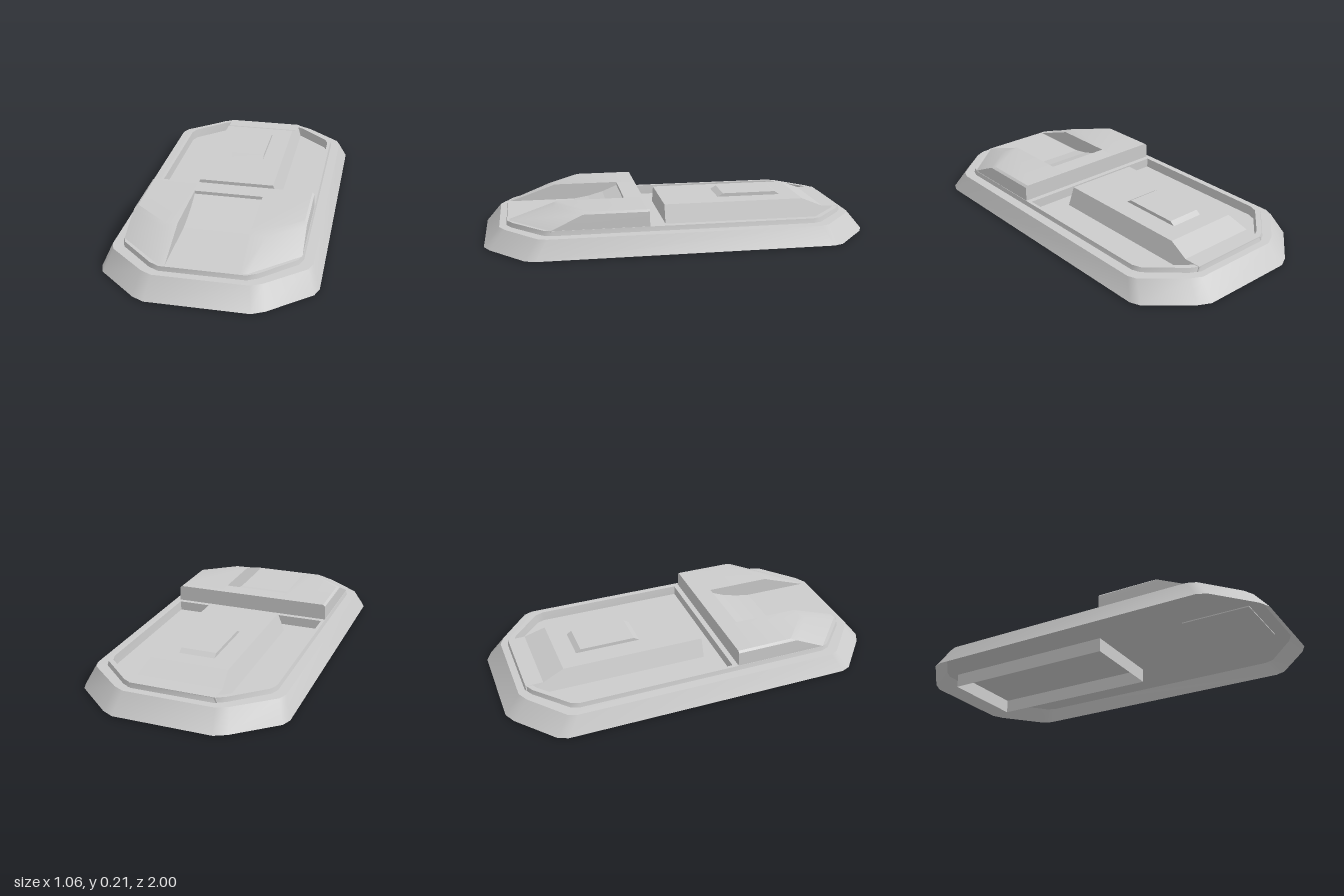
import * as THREE from 'three';
import { toCreasedNormals } from 'three/addons/utils/BufferGeometryUtils.js';

const grey = new THREE.MeshStandardMaterial({ color: 0xcccccc });
const greyShell = new THREE.MeshStandardMaterial({ color: 0xcccccc, side: THREE.DoubleSide });

// Skin a stack of rising rings of [x, y, z] points, optionally closing the top.
function loft(rings, capTop) {
  const n = rings[0].length;
  let area = 0;
  rings[0].forEach(([x, , z], i) => {
    const q = rings[0][(i + 1) % n];
    area += z * q[0] - x * q[2];
  });
  const ordered = rings.map(r => (area < 0 ? [...r].reverse() : r));
  const points = ordered.flat();
  const index = [];
  for (let r = 0; r < rings.length - 1; r++) {
    for (let j = 0; j < n; j++) {
      const k = (j + 1) % n, a = r * n + j, b = r * n + k;
      index.push(a, b, b + n, a, b + n, a + n);
    }
  }
  const last = (rings.length - 1) * n;
  for (let j = 1; capTop && j < n - 1; j++) index.push(last, last + j, last + j + 1);
  const g = new THREE.BufferGeometry();
  g.setAttribute('position', new THREE.Float32BufferAttribute(points.flat(), 3));
  g.setIndex(index);
  return toCreasedNormals(g, 0.6);
}

// Side profile of [z, y] points, extruded across x from -half to half.
function extrudeAcross(profile, half) {
  const shape = new THREE.Shape(profile.map(([z, y]) => new THREE.Vector2(-z, y)));
  const g = new THREE.ExtrudeGeometry(shape, { depth: half * 2, bevelEnabled: false });
  return g.translate(0, 0, -half).rotateY(Math.PI / 2);
}

const box = (x0, x1, y0, y1, z0, z1) =>
  new THREE.BoxGeometry(x1 - x0, y1 - y0, z1 - z0)
    .translate((x0 + x1) / 2, (y0 + y1) / 2, (z0 + z1) / 2);

const rect = (hx, y, z0, z1) => [[hx, y, z1], [hx, y, z0], [-hx, y, z0], [-hx, y, z1]];

// Octagonal plan with softened corners, for given half width and half length.
function octagon(hx, hz, y) {
  const quarter = [[0.53, 0.75], [0.51, 0.8], [0.31, 0.97], [0.25, 1]]
    .map(([x, z]) => [x * hx / 0.53, z * hz]);
  const back = [...quarter].reverse();
  return [
    ...quarter.map(([x, z]) => [x, y, z]),
    ...back.map(([x, z]) => [-x, y, z]),
    ...quarter.map(([x, z]) => [-x, y, -z]),
    ...back.map(([x, z]) => [x, y, -z]),
  ];
}

export function createModel() {
  const model = new THREE.Group();
  const add = (name, geometry, material = grey) => {
    const mesh = new THREE.Mesh(geometry, material);
    mesh.name = name;
    model.add(mesh);
  };
  const floorY = 0.075;

  // Open-bottomed base shell: sloped wall, ledge, and raised rim around a tray
  add('baseShell', loft([
    octagon(0.53, 1, 0.004),
    octagon(0.49, 0.92, 0.1),
    octagon(0.442, 0.885, 0.102),
    octagon(0.437, 0.88, 0.125),
    octagon(0.42, 0.855, 0.125),
    octagon(0.417, 0.85, floorY),
  ], false), greyShell);

  // Floor sheet, seen as the tray from above and as the hollow underside from below
  const floor = new THREE.Shape(octagon(0.5, 0.94, 0).map(([x, , z]) => new THREE.Vector2(x, z)));
  add('floor', new THREE.ShapeGeometry(floor).rotateX(Math.PI / 2).translate(0, floorY, 0), greyShell);

  // Open rectangular skirt below the floor, under the rear plate
  add('undersideSkirt', loft([rect(0.235, 0, -0.88, 0.07), rect(0.235, floorY, -0.88, 0.07)], false), greyShell);

  // Raised rear plate: flat, then sloping down to the rim, narrower at the top
  const plate = extrudeAcross([[0.07, floorY], [0.07, 0.17], [-0.68, 0.17], [-0.79, 0.127],
    [-0.88, 0.127], [-0.88, floorY]], 0.235);
  const p = plate.attributes.position;
  for (let i = 0; i < p.count; i++) {
    p.setX(i, p.getX(i) * (1 - 0.15 * (p.getY(i) - floorY) / (0.17 - floorY)));
  }
  plate.computeVertexNormals();
  add('rearPlate', plate);

  // Button with sloped ends
  add('button', extrudeAcross([[-0.24, 0.165], [-0.24, 0.17], [-0.27, 0.188], [-0.56, 0.188],
    [-0.585, 0.17], [-0.585, 0.165]], 0.092));

  // Strip between the rear tray and the front blocks
  add('crossbar', box(-0.432, 0.432, floorY, 0.125, 0.152, 0.19));

  // Pair of front blocks, falling away towards the front corner
  for (const s of [1, -1]) {
    const ring = (y, pts) => pts.map(([x, z]) => [s * x, y, z]);
    add(s > 0 ? 'leftBlock' : 'rightBlock', loft([
      ring(floorY, [[0.178, 0.18], [0.435, 0.18], [0.435, 0.67], [0.21, 0.868], [0.178, 0.868]]),
      ring(0.125, [[0.178, 0.18], [0.435, 0.18], [0.435, 0.67], [0.21, 0.868], [0.178, 0.868]]),
      ring(0.2, [[0.178, 0.18], [0.433, 0.18], [0.433, 0.51], [0.26, 0.65], [0.178, 0.65]]),
      ring(0.21, [[0.178, 0.18], [0.422, 0.18], [0.42, 0.48], [0.245, 0.625], [0.178, 0.625]]),
    ], true));
  }

  // Bridge between the blocks, with a hollowed ramp down to the front panel
  add('bridgeRamp', extrudeAcross([[0.18, floorY], [0.18, 0.21], [0.28, 0.21], [0.28, 0.193],
    [0.36, 0.16], [0.44, 0.138], [0.52, 0.125], [0.52, floorY]], 0.178));

  // Flat front panel, its lower edge just showing under the floor
  add('frontPanel', box(-0.178, 0.178, 0.07, 0.125, 0.515, 0.874));

  return model;
}
